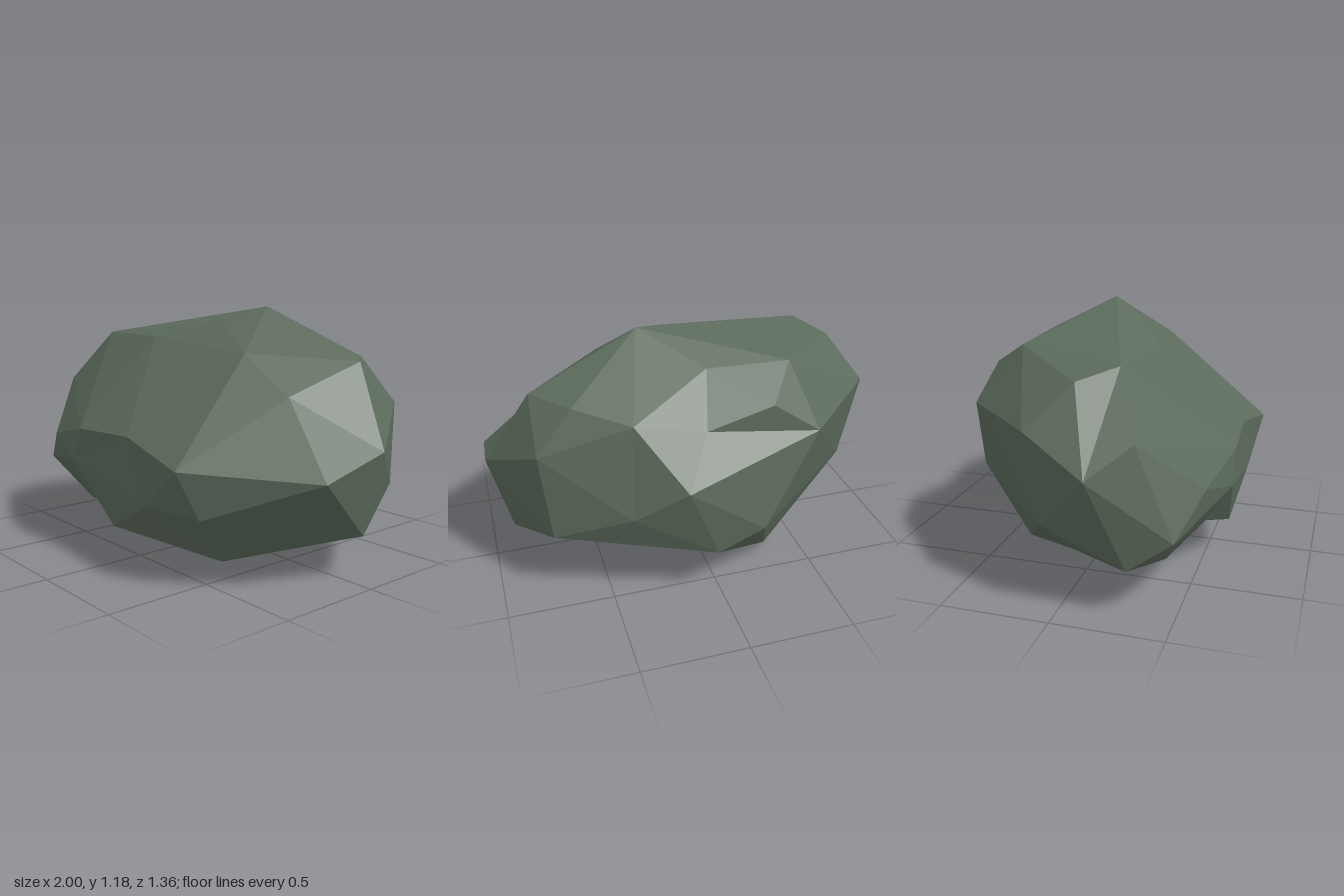
import * as THREE from 'three';
import { ConvexGeometry } from 'three/addons/geometries/ConvexGeometry.js';

// Corner points of the boulder, ring by ring. An optional fourth number
// above 1 makes a ridge between corners, below 1 a hollow.
const crown = [
  [0.26, 1.18, -0.08, 1.06], [0.12, 1.11, 0.09], [-0.18, 1.03, 0.26], [-0.65, 1.03, 0.21, 1.06],
  [-0.77, 0.98, 0.05], [-0.4, 1.04, -0.33], [0, 1.05, -0.33], [0.78, 0.95, -0.15],
  [0.62, 0.95, -0.35], [0.38, 0.9, -0.5], [-0.26, 0.92, -0.52], [0.05, 0.83, -0.51],
  [0.4, 0.98, 0.19],
];
const waist = [
  [-1, 0.64, 0.16], [-0.87, 0.77, 0.33], [-0.63, 0.52, 0.58], [-0.27, 0.6, 0.65],
  [0.1, 0.61, 0.63], [0.52, 0.53, 0.68], [0.67, 0.81, 0.18], [0.99, 0.5, 0.28],
  [1, 0.59, -0.06], [0.79, 0.75, -0.39], [0.18, 0.63, -0.68], [-0.48, 0.77, -0.54],
  [-0.89, 0.79, -0.14], [-0.35, 0.44, 0.65], [0.41, 0.48, -0.59],
];
const base = [
  [-0.84, 0.35, 0.49], [-0.34, 0.25, 0.53], [0.25, 0.32, 0.64], [0.58, 0.32, 0.6],
  [-0.07, 0.15, 0.6], [-0.58, 0.15, 0.4], [-0.88, 0.22, 0.3], [-0.82, 0.35, -0.1],
  [-0.19, 0.36, -0.65], [0.03, 0.26, -0.64], [0.75, 0.35, -0.43], [0.9, 0.2, -0.06],
  [0.43, 0.05, 0.35], [0.35, 0, 0.03], [-0.31, 0.045, -0.36], [-0.2, 0.15, 0.22, 0.98],
  [-0.51, 0.1, -0.06], [0.15, 0.08, -0.29],
];

// Wraps the points in facets: the hull of the points on a ball gives the
// connections, then each corner returns to its true place, keeping the dents.
function facetedGeometry(points) {
  const centre = new THREE.Vector3(0, 0.56, 0);
  const size = new THREE.Vector3(1, 0.6, 0.7);
  const corners = points.map(([x, y, z]) => new THREE.Vector3(x, y, z));
  const rounded = corners.map((c, i) =>
    c.clone().sub(centre).divide(size).setLength(points[i][3] ?? 1));
  const geometry = new ConvexGeometry(rounded);
  const position = geometry.attributes.position;
  const v = new THREE.Vector3();
  for (let i = 0; i < position.count; i++) {
    v.fromBufferAttribute(position, i);
    let best = 0;
    rounded.forEach((r, k) => {
      if (r.distanceToSquared(v) < rounded[best].distanceToSquared(v)) best = k;
    });
    position.setXYZ(i, corners[best].x, corners[best].y, corners[best].z);
  }
  geometry.computeVertexNormals();
  return geometry;
}

export function createModel() {
  const group = new THREE.Group();
  group.name = 'rock';
  const stone = new THREE.MeshStandardMaterial({ color: 0x5c6b5c, flatShading: true });
  stone.name = 'mossy grey stone';
  const boulder = new THREE.Mesh(facetedGeometry([...crown, ...waist, ...base]), stone);
  boulder.name = 'boulder';
  group.add(boulder);
  return group;
}
